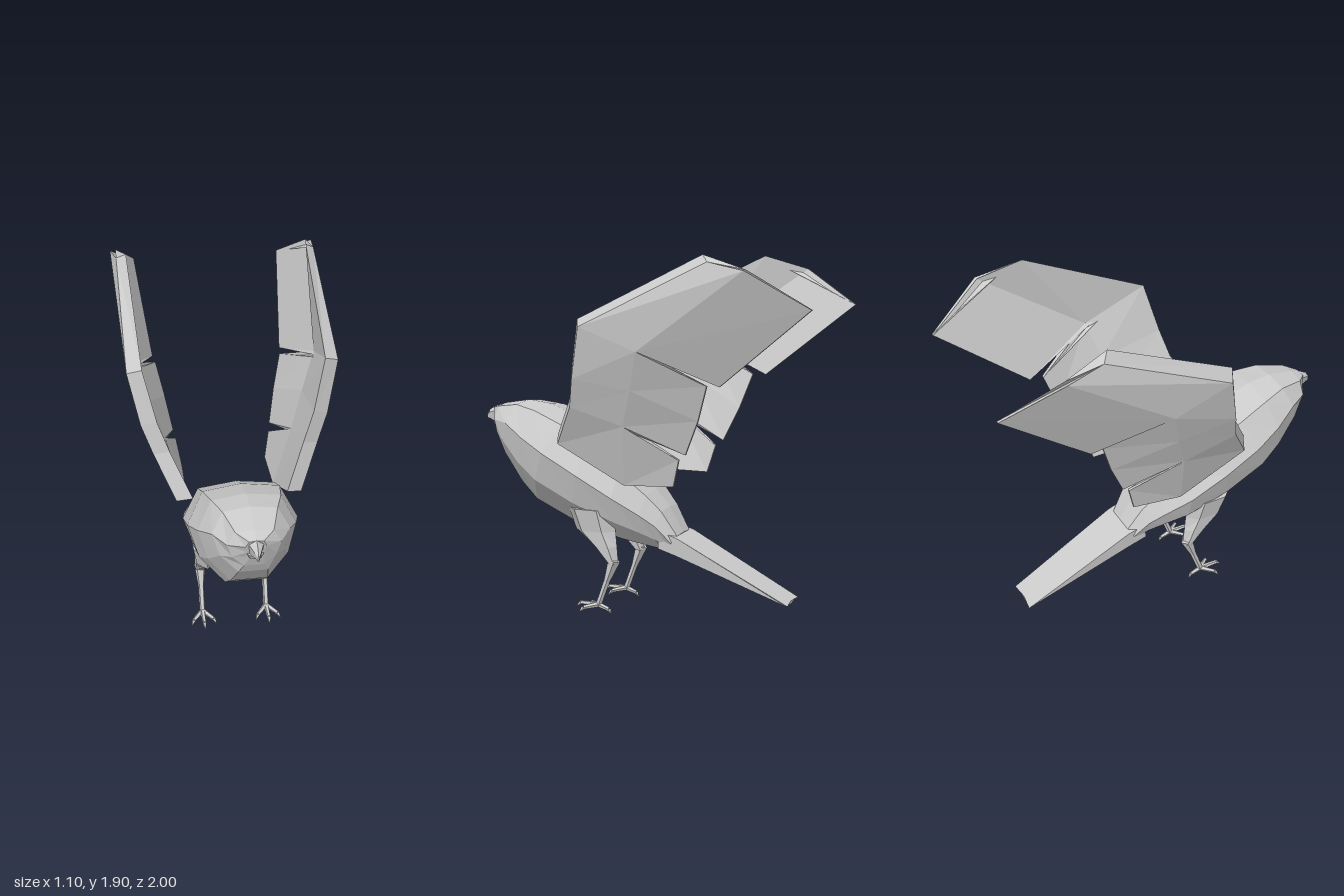
import * as THREE from 'three';

const mat = new THREE.MeshStandardMaterial({ color: 0xcccccc, flatShading: true });

// Closed skin through equal-length rings of [x, y, z], capped, oriented outward
function loft(name, rings) {
  const tris = [];
  const n = rings[0].length;
  for (let i = 0; i + 1 < rings.length; i++) {
    const a = rings[i], b = rings[i + 1];
    for (let j = 0; j < n; j++) {
      const k = (j + 1) % n;
      tris.push([a[j], a[k], b[k]], [a[j], b[k], b[j]]);
    }
  }
  const first = rings[0], last = rings[rings.length - 1];
  for (let j = 1; j + 1 < n; j++) {
    tris.push([first[0], first[j + 1], first[j]], [last[0], last[j], last[j + 1]]);
  }
  // Signed volume about the first corner tells whether the skin is inside out
  const o = new THREE.Vector3(...first[0]);
  let volume = 0;
  for (const t of tris) {
    const [p, q, r] = t.map(c => new THREE.Vector3(...c).sub(o));
    volume += p.dot(q.cross(r));
  }
  if (volume < 0) tris.forEach(t => t.reverse());
  const geo = new THREE.BufferGeometry();
  geo.setAttribute('position', new THREE.Float32BufferAttribute(tris.flat(2), 3));
  geo.computeVertexNormals();
  const mesh = new THREE.Mesh(geo, mat);
  mesh.name = name;
  return mesh;
}

// Tapered rod between two points
function rod(name, a, b, ra, rb, sides = 5) {
  const p = new THREE.Vector3(...a), q = new THREE.Vector3(...b);
  const d = q.clone().sub(p);
  const mesh = new THREE.Mesh(new THREE.CylinderGeometry(rb, ra, d.length(), sides), mat);
  mesh.position.copy(p).add(q).multiplyScalar(0.5);
  mesh.quaternion.setFromUnitVectors(new THREE.Vector3(0, 1, 0), d.normalize());
  mesh.name = name;
  return mesh;
}

// Half profile: [share of half width, share of the way from top to bottom]
const HALF = [[0.7, 0.05], [1, 0.38], [0.82, 0.72], [0.38, 1]];

// Leaning body section from top and bottom points
function section([topZ, topY, botZ, botY, w]) {
  const at = (side, [fx, t]) => [side * fx * w, topY + (botY - topY) * t, topZ + (botZ - topZ) * t];
  return [[0, topY, topZ], ...HALF.map(h => at(1, h)), ...HALF.map(h => at(-1, h)).reverse()];
}

function makeBody() {
  return loft('body', [
    [0.94, 1.07, 0.91, 0.96, 0.05],
    [0.88, 1.09, 0.88, 0.88, 0.13],
    [0.73, 1.115, 0.85, 0.82, 0.19],
    [0.60, 1.10, 0.73, 0.67, 0.245],
    [0.43, 1.04, 0.63, 0.58, 0.28],
    [0.26, 0.94, 0.38, 0.47, 0.285],
    [0.10, 0.80, 0.12, 0.40, 0.26],
    [-0.04, 0.67, 0.0, 0.375, 0.2],
    [-0.12, 0.58, -0.07, 0.36, 0.16],
    [-0.20, 0.445, -0.14, 0.345, 0.125],
  ].map(section));
}

function makeTail() {
  // Flat fan with a shallow keel
  const ring = (z, top, bot, w) => [
    [0, top, z], [w, top - 0.005, z - 0.01], [w * 0.95, bot + 0.01, z],
    [0, bot, z], [-w * 0.95, bot + 0.01, z], [-w, top - 0.005, z - 0.01],
  ];
  return loft('tail', [ring(-0.1, 0.47, 0.36, 0.125), ring(-0.2, 0.44, 0.33, 0.122), ring(-0.8, 0.137, 0.12, 0.097)]);
}

function makeBeak() {
  const beak = new THREE.Group();
  beak.name = 'beak';
  const ring = (z, top, bot, w) => [
    [0, top, z], [w, (top * 2 + bot) / 3, z], [w * 0.7, bot, z],
    [-w * 0.7, bot, z], [-w, (top * 2 + bot) / 3, z],
  ];
  beak.add(loft('upperBeak', [
    ring(0.9, 1.08, 0.98, 0.05), ring(0.945, 1.07, 0.985, 0.03),
    ring(0.982, 1.05, 0.998, 0.016), ring(1.0, 1.025, 0.995, 0.004),
  ]));
  beak.add(loft('lowerBeak', [
    ring(0.88, 0.99, 0.94, 0.05), ring(0.925, 0.99, 0.955, 0.036), ring(0.955, 0.99, 0.975, 0.012),
  ]));
  return beak;
}

// Wing panels: stations of leading, middle and trailing points, plus thickness
const WING = {
  innerFeathers: [
    [[0.32, 0.93, 0.385], [0.285, 0.73, 0.02], [0.25, 0.735, -0.24], 0.08],
    [[0.42, 1.14, 0.26], [0.385, 1.05, -0.02], [0.275, 0.88, -0.28], 0.08],
  ],
  middleFeathers: [
    [[0.42, 1.14, 0.26], [0.385, 1.05, -0.02], [0.285, 0.91, -0.32], 0.08],
    [[0.475, 1.29, 0.22], [0.45, 1.24, -0.09], [0.32, 1.09, -0.4], 0.08],
    [[0.53, 1.555, 0.155], [0.515, 1.44, -0.15], [0.36, 1.27, -0.46], 0.075],
  ],
  outerFeathers: [
    [[0.53, 1.555, 0.155], [0.515, 1.44, -0.15], [0.37, 1.27, -0.53], 0.075],
    [[0.525, 1.87, -0.52], [0.55, 1.83, -0.71], [0.425, 1.65, -1.0], 0.05],
  ],
};

function makeWing(side) {
  const wing = new THREE.Group();
  wing.name = side > 0 ? 'leftWing' : 'rightWing';
  for (const [name, stations] of Object.entries(WING)) {
    wing.add(loft(name, stations.map(([l, m, t, d]) => [
      l, m, t,
      [t[0] - 0.015, t[1], t[2]],
      [m[0] - d * 0.6, m[1] + 0.005, m[2]],
      [l[0] - d, l[1] + 0.035, l[2] + 0.04], // bevelled leading edge
    ].map(([x, y, z]) => [x * side, y, z]))));
  }
  return wing;
}

function makeLeg(side) {
  const leg = new THREE.Group();
  leg.name = side > 0 ? 'leftLeg' : 'rightLeg';
  const X = 0.18 * side;
  // Thigh: six-sided rings of [y, front z, back z, inner x, outer x]
  leg.add(loft('thigh', [
    [0.57, 0.40, 0.14, 0.11, 0.235],
    [0.45, 0.36, 0.125, 0.11, 0.215],
    [0.37, 0.255, 0.115, 0.125, 0.212],
    [0.28, 0.155, 0.105, 0.14, 0.208],
  ].map(([y, f, b, i, o]) => {
    const c = (i + o) / 2, q = (f - b) * 0.25;
    return [[c, y, f], [o, y, f - q], [o, y, b + q], [c, y, b], [i, y, b + q], [i, y, f - q]]
      .map(p => [p[0] * side, p[1], p[2]]);
  })));
  leg.add(rod('shin', [X, 0.3, 0.125], [X, 0.18, 0.17], 0.034, 0.017));
  leg.add(rod('ankle', [X, 0.18, 0.17], [X, 0.045, 0.22], 0.017, 0.016));
  // Toes with claws: end offsets in x and z from the ankle
  for (const [dx, dz, y] of [[0, 0.105, 0.045], [0.055, 0.065, 0.035], [-0.055, 0.065, 0.035], [0, -0.06, 0.025]]) {
    const end = [X + dx, y, 0.22 + dz];
    leg.add(rod('toe', [X, 0.045, 0.22], end, 0.015, 0.011));
    leg.add(rod('claw', end, [X + dx * 1.25, Math.max(y - 0.022, 0.002), 0.22 + dz * 1.25], 0.013, 0.002));
  }
  return leg;
}

export function createModel() {
  const bird = new THREE.Group();
  bird.name = 'bird';
  bird.add(makeBody(), makeTail(), makeBeak());
  for (const side of [1, -1]) bird.add(makeWing(side), makeLeg(side));
  return bird;
}
